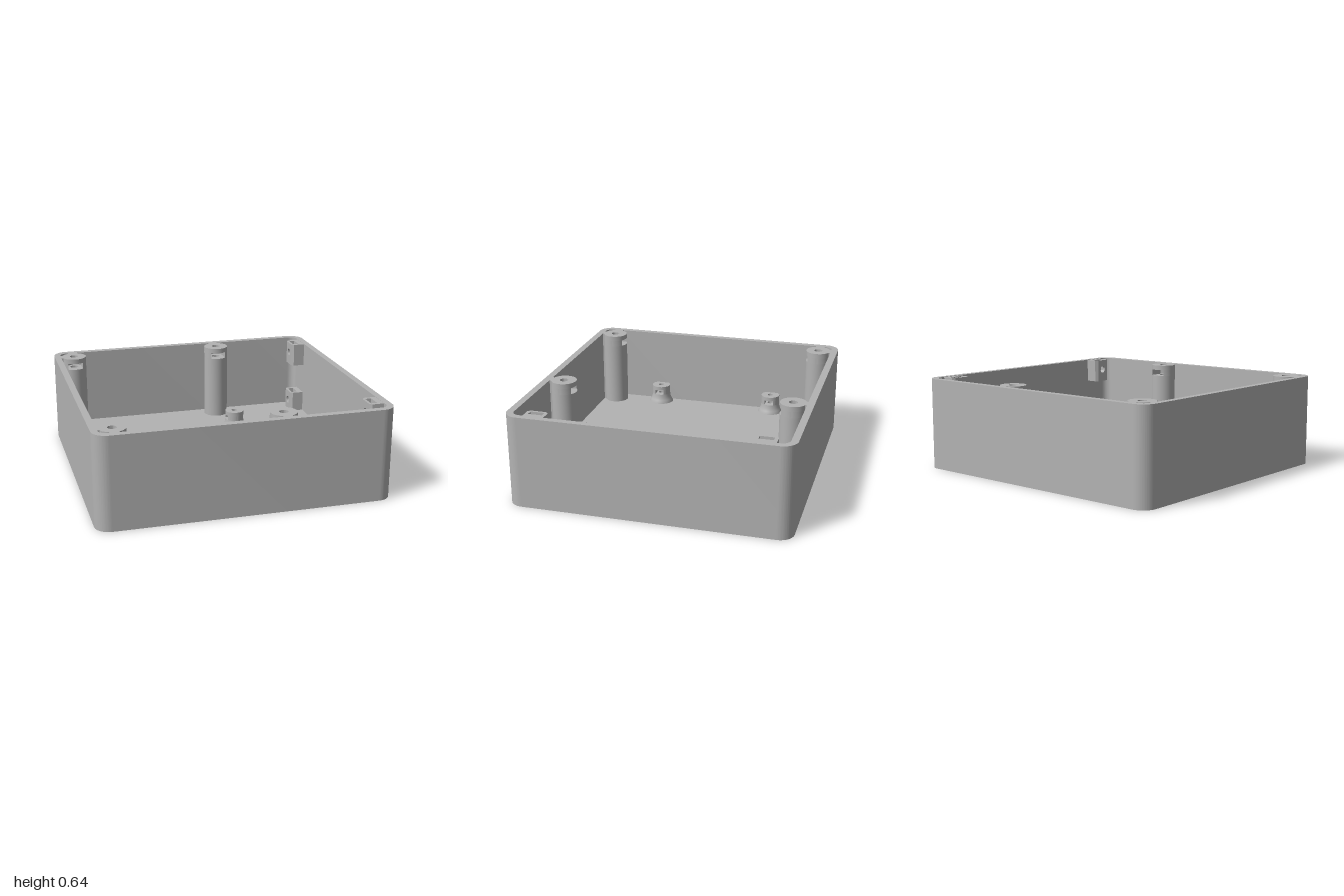
import * as THREE from 'three';
import { toCreasedNormals } from 'three/addons/utils/BufferGeometryUtils.js';

const HEIGHT = 0.64, FLOOR = 0.09;
const gray = new THREE.MeshStandardMaterial({ color: 0xb3b3b3 });
gray.name = 'plain gray';

function add(parent, name, geometry) {
  const mesh = new THREE.Mesh(geometry, gray);
  mesh.name = name;
  parent.add(mesh);
  return mesh;
}

function group(parent, name, x, y, z) {
  const g = new THREE.Group();
  g.name = name;
  g.position.set(x, y, z);
  parent.add(g);
  return g;
}

function extrude(shape, depth) {
  return new THREE.ExtrudeGeometry(shape, { depth, bevelEnabled: false, curveSegments: 20 });
}

// Plan outline (x, -z) raised from y0 to y1
function raise(shape, y0, y1) {
  return toCreasedNormals(extrude(shape, y1 - y0).rotateX(-Math.PI / 2).translate(0, y0, 0), 0.5);
}

// Outline (z, y) pushed along x from x0 to x1
function pushX(shape, x0, x1) {
  return toCreasedNormals(extrude(shape, x1 - x0).rotateY(Math.PI / 2).translate(x0, 0, 0), 0.5);
}

function roundedRect(hx, hz, r) {
  const s = new THREE.Shape();
  s.absarc(hx - r, hz - r, r, 0, Math.PI / 2);
  s.absarc(-hx + r, hz - r, r, Math.PI / 2, Math.PI);
  s.absarc(-hx + r, -hz + r, r, Math.PI, Math.PI * 1.5);
  s.absarc(hx - r, -hz + r, r, Math.PI * 1.5, Math.PI * 2);
  s.closePath();
  return s;
}

function disc(r, hole) {
  const s = new THREE.Shape().absarc(0, 0, r, 0, Math.PI * 2);
  if (hole) s.holes.push(new THREE.Path().absarc(0, 0, hole, 0, Math.PI * 2, true));
  return s;
}

function polygon(points) {
  return new THREE.Shape(points.map(([x, y]) => new THREE.Vector2(x, y)));
}

// Tall screw post with a pointed nut slot near its top, opening inwards
function screwPost(parent, x, z) {
  const r = 0.09, w = 0.055, slot0 = 0.56, slot1 = 0.605;
  const g = group(parent, 'screwPost', x, 0, z);
  if (z < 0) g.rotation.y = Math.PI;
  add(g, 'postShaft', raise(disc(r, 0.03), FLOOR - 0.01, slot0));
  add(g, 'postCap', raise(disc(r, 0.03), slot1, HEIGHT));
  const a = Math.acos(w / r);
  const s = new THREE.Shape();
  s.absarc(0, 0, r, Math.PI - a, Math.PI * 2 + a);
  s.lineTo(w, -0.03);
  s.lineTo(0, -0.062);
  s.lineTo(-w, -0.03);
  s.closePath();
  add(g, 'nutSlot', raise(s, slot0, slot1));
}

// Straight web joining a post to the wall
function web(parent, x, z, sx, sz) {
  const y0 = FLOOR - 0.01;
  add(parent, 'postWeb', new THREE.BoxGeometry(sx, HEIGHT - y0, sz).translate(x, (HEIGHT + y0) / 2, z));
}

// Short flared standoff with a bore and a cross slot
function standoff(parent, x, z) {
  const r = 0.07, bore = 0.021, w = 0.035, slot0 = 0.16, slot1 = 0.195, top = 0.225;
  const g = group(parent, 'boardStandoff', x, 0, z);
  const profile = [[0.094, FLOOR - 0.005], [0.094, FLOOR], [0.081, 0.112], [0.073, 0.135], [r, slot0], [bore, slot0], [bore, FLOOR]];
  const base = new THREE.LatheGeometry(profile.map(p => new THREE.Vector2(...p)), 40);
  add(g, 'standoffBase', toCreasedNormals(base, 0.6));
  add(g, 'standoffCap', raise(disc(r, bore), slot1, top));
  const a = Math.asin(w / r);
  for (const turn of [0, Math.PI]) {
    const s = new THREE.Shape().absarc(0, 0, r, a + turn, Math.PI - a + turn);
    s.closePath();
    add(g, 'standoffCheek', raise(s, slot0, slot1));
  }
}

// Wall lug: screw hole through it and a nut pocket with a V bottom
function lug(parent, z, top, height) {
  const g = group(parent, 'wallLug', 0, top, z);
  const w = 0.072, n = 0.048, x0 = 0.855, x1 = 0.872, x2 = 0.915, x3 = 0.958;
  const plate = () => {
    const s = polygon([[-w, -height], [w, -height], [w, 0], [-w, 0]]);
    s.holes.push(new THREE.Path().absarc(0, -0.075, 0.027, 0, Math.PI * 2, true));
    return s;
  };
  // Front plate narrows towards the inside of the box
  const front = extrude(plate(), x1 - x0).rotateY(Math.PI / 2).translate(x0, 0, 0);
  const p = front.attributes.position;
  for (let i = 0; i < p.count; i++) {
    if (p.getX(i) < x0 + 0.001) p.setZ(i, THREE.MathUtils.clamp(p.getZ(i), -0.052, 0.052));
  }
  front.computeVertexNormals();
  add(g, 'lugFront', toCreasedNormals(front, 0.4));
  add(g, 'lugPocket', pushX(polygon([
    [-w, -height], [w, -height], [w, 0], [n, 0], [n, -0.09], [0, -0.125], [-n, -0.09], [-n, 0], [-w, 0],
  ]), x1, x2));
  add(g, 'lugBack', pushX(plate(), x2, x3));
}

export function createModel() {
  const model = new THREE.Group();
  model.name = 'openEnclosure';

  // Shell
  const walls = roundedRect(1, 0.96, 0.1);
  walls.holes.push(new THREE.Path(roundedRect(0.955, 0.912, 0.055).getPoints(12).reverse()));
  add(model, 'walls', raise(walls, 0, HEIGHT));
  add(model, 'floor', raise(roundedRect(0.955, 0.912, 0.055), 0, FLOOR));

  for (const side of [-1, 1]) {
    // Screw posts along the front and back walls, webbed to the shell
    for (const x of [-0.857, 0.262]) {
      screwPost(model, x, side * 0.816);
      web(model, x, side * 0.909, 0.065, 0.024);
    }
    web(model, -0.948, side * 0.816, 0.024, 0.065);

    // Board standoffs
    for (const x of [-0.903, 0.31]) standoff(model, x, side * 0.449);

    // Lugs on the right wall, high and low
    lug(model, side * 0.76, HEIGHT - 0.002, 0.17);
    lug(model, side * 0.76, 0.24, 0.155);
  }

  // Small pierced block on the floor
  const block = polygon([[-0.067, 0.085], [0.067, 0.085], [0.067, 0.22], [-0.067, 0.22]]);
  block.holes.push(new THREE.Path([[-0.03, 0.135], [-0.03, 0.185], [0.03, 0.185], [0.03, 0.135]].map(p => new THREE.Vector2(...p))));
  add(model, 'tieBlock', extrude(block, 0.065)).position.set(0.07, 0, 0.762);

  return model;
}
